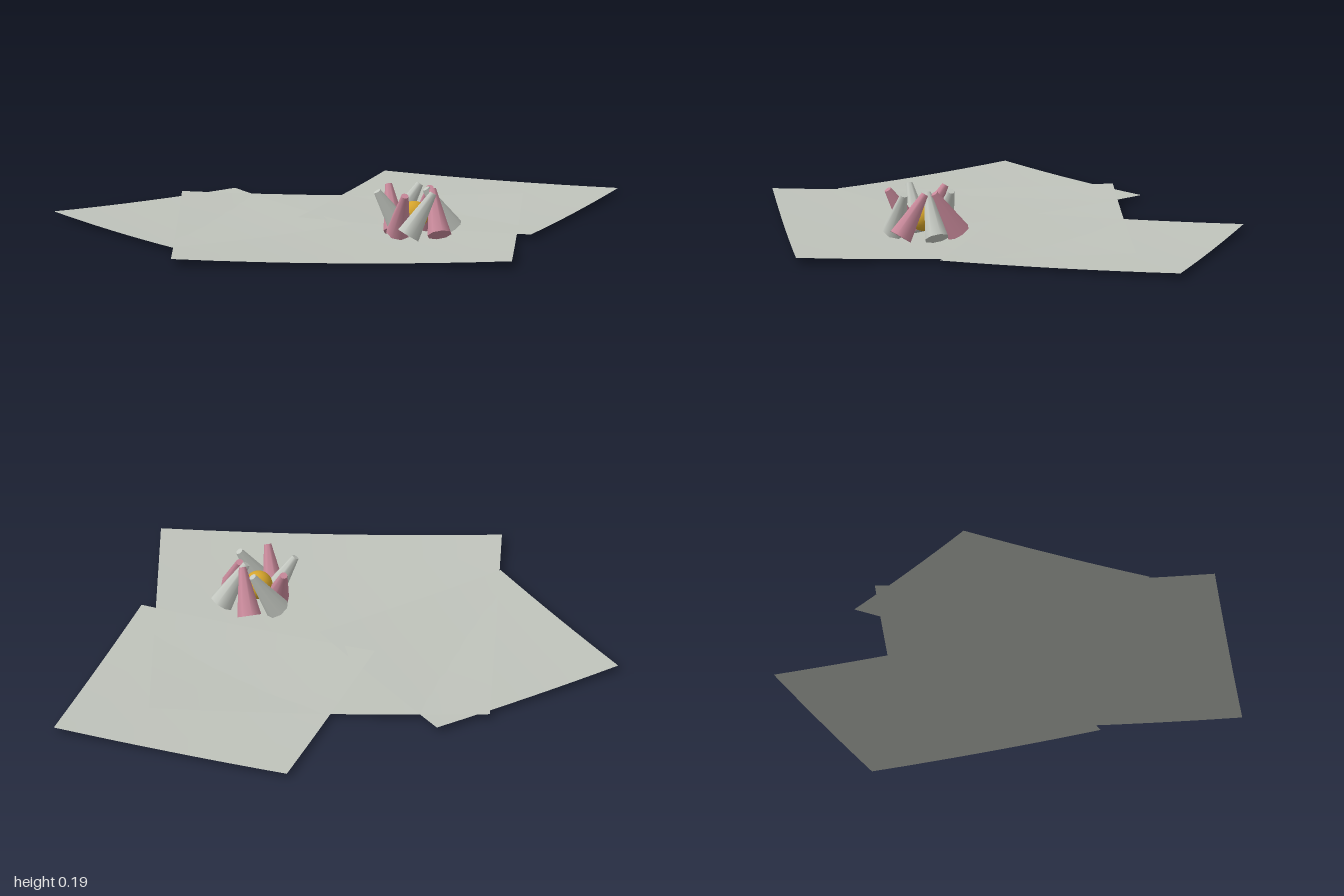
import * as THREE from 'three';

const mat = (name, color, side = THREE.FrontSide) => {
  const m = new THREE.MeshStandardMaterial({ color, side });
  m.name = name;
  return m;
};

export function createModel() {
  const model = new THREE.Group();
  model.name = 'waterLily';

  const leafGrey = mat('leaf grey', 0xbfc3bb, THREE.DoubleSide);
  const petalGrey = mat('petal grey', 0xc4c8c1);
  const petalPink = mat('petal pink', 0xc98a9b);
  const gold = mat('centre gold', 0xd6a52c);

  // Square leaf, dished so that its corners rise slightly
  function addLeaf(name, size, x, z, turn, low, rise) {
    const geo = new THREE.PlaneGeometry(size, size, 8, 8).rotateX(-Math.PI / 2);
    const p = geo.attributes.position;
    for (let i = 0; i < p.count; i++) {
      const r2 = p.getX(i) ** 2 + p.getZ(i) ** 2;
      p.setY(i, low + rise * r2 / (size * size / 2));
    }
    geo.computeVertexNormals();
    const leaf = new THREE.Mesh(geo, leafGrey);
    leaf.name = name;
    leaf.position.set(x, 0, z);
    leaf.rotation.y = turn;
    model.add(leaf);
  }
  addLeaf('largeLeaf', 1.185, -0.0925, 0.09, -0.3, 0.001, 0.023);
  addLeaf('rightBackLeaf', 0.865, 0.395, -0.2325, -0.625, 0.008, 0.01);
  addLeaf('leftBackLeaf', 0.751, -0.5275, -0.2075, 0.311, 0.009, 0.01);

  // Flower: eight tapered petals in a ring, alternating grey and pink
  const flower = new THREE.Group();
  flower.name = 'flower';
  flower.position.set(0.097, 0, 0.28);
  model.add(flower);

  const petalGeo = new THREE.CylinderGeometry(0.013, 0.043, 0.17, 8);
  const ring = 0.088;
  const tilt = 0.56;
  const up = new THREE.Vector3(0, 1, 0);
  for (let i = 0; i < 8; i++) {
    const a = i * Math.PI / 4;
    const petal = new THREE.Mesh(petalGeo, i % 2 ? petalPink : petalGrey);
    petal.name = 'petal' + (i + 1);
    petal.position.set(ring * Math.cos(a), 0.11, ring * Math.sin(a));
    // The lean direction turns twice as fast as the place in the ring
    petal.quaternion.setFromAxisAngle(up, -2 * a)
      .multiply(new THREE.Quaternion().setFromAxisAngle(new THREE.Vector3(0, 0, 1), tilt));
    flower.add(petal);
  }

  // Round centre
  const heart = new THREE.Mesh(new THREE.SphereGeometry(0.05, 20, 14), gold);
  heart.name = 'flowerCentre';
  heart.position.y = 0.09;
  flower.add(heart);

  return model;
}
